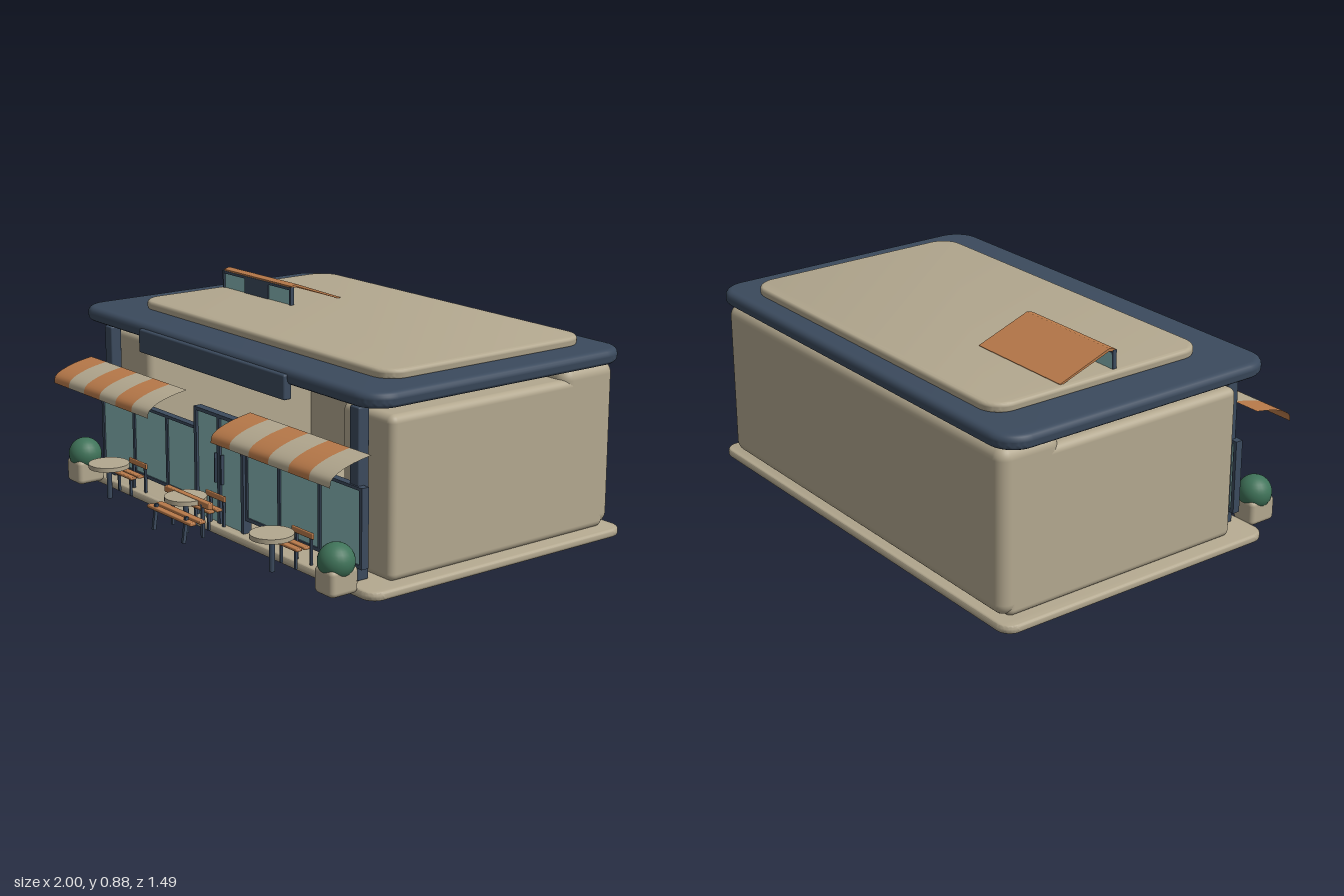
import * as THREE from 'three';
import { toCreasedNormals } from 'three/addons/utils/BufferGeometryUtils.js';
import { RoundedBoxGeometry } from 'three/addons/geometries/RoundedBoxGeometry.js';

const material = (name, color, side = THREE.FrontSide) => {
  const m = new THREE.MeshStandardMaterial({ color, side });
  m.name = name;
  return m;
};

export function createModel() {
  const model = new THREE.Group();
  model.name = 'cafe';
  const beige = material('beige', 0xb3a88f, THREE.DoubleSide);
  const navy = material('navy', 0x3b4a5d);
  const orange = material('orange', 0xb97a4a, THREE.DoubleSide);
  const glass = material('glass', 0x86b7b6);
  const green = material('green', 0x3f7359);

  const add = (parent, name, geometry, mat, x = 0, y = 0, z = 0) => {
    const mesh = new THREE.Mesh(geometry, mat);
    mesh.name = name;
    mesh.position.set(x, y, z);
    parent.add(mesh);
    return mesh;
  };
  const group = (parent, name, x = 0, y = 0, z = 0) => {
    const g = new THREE.Group();
    g.name = name;
    g.position.set(x, y, z);
    parent.add(g);
    return g;
  };
  // Box given by its lower and upper corners; r rounds the edges
  const box = (parent, name, mat, [x0, y0, z0], [x1, y1, z1], r = 0) => {
    const size = [x1 - x0, y1 - y0, z1 - z0];
    const geometry = r ? new RoundedBoxGeometry(...size, 4, r) : new THREE.BoxGeometry(...size);
    return add(parent, name, geometry, mat, (x0 + x1) / 2, (y0 + y1) / 2, (z0 + z1) / 2);
  };
  // Flat slab with rounded corners and bevelled rims
  const slab = (name, mat, x0, x1, y0, y1, z0, z1, r, bevel) => {
    const w = (x1 - x0) / 2 - bevel, d = (z1 - z0) / 2 - bevel;
    const s = new THREE.Shape();
    s.moveTo(-w + r, -d);
    s.absarc(w - r, -d + r, r, -Math.PI / 2, 0);
    s.absarc(w - r, d - r, r, 0, Math.PI / 2);
    s.absarc(-w + r, d - r, r, Math.PI / 2, Math.PI);
    s.absarc(-w + r, -d + r, r, Math.PI, Math.PI * 1.5);
    const g = new THREE.ExtrudeGeometry(s, {
      depth: y1 - y0 - 2 * bevel, bevelSize: bevel, bevelThickness: bevel, bevelSegments: 4, curveSegments: 8,
    });
    g.rotateX(-Math.PI / 2);
    return add(model, name, toCreasedNormals(g, 0.6), mat, (x0 + x1) / 2, y0 + bevel, (z0 + z1) / 2);
  };

  // Base, walls and roof
  slab('base', beige, -1, 1, 0, 0.035, -0.745, 0.535, 0.05, 0.012);
  box(model, 'backWall', beige, [-0.94, 0.035, -0.725], [0.94, 0.7, -0.45], 0.05);
  for (const s of [-1, 1]) {
    box(model, 'sideWall', beige, [s * 0.795 - 0.145, 0.03, -0.69], [s * 0.795 + 0.145, 0.655, 0.4], 0.03);
    box(model, 'frontColumn', navy, [s * 0.832 - 0.026, 0.035, 0.435], [s * 0.832 + 0.026, 0.685, 0.485], 0.006);
  }
  slab('roof', navy, -0.995, 0.995, 0.7, 0.76, -0.74, 0.53, 0.09, 0.025);
  slab('roofTop', beige, -0.797, 0.855, 0.755, 0.795, -0.647, 0.35, 0.08, 0.015);
  box(model, 'signBoard', navy, [-0.495, 0.645, 0.508], [0.495, 0.742, 0.546], 0.008);

  // Window rows on both sides of the door, three panes each
  for (const s of [-1, 1]) {
    const row = group(model, 'windowRow');
    const posts = [0.172, 0.385, 0.635, 0.88].map((x) => x * s);
    const left = Math.min(...posts), right = Math.max(...posts);
    box(row, 'windowGlass', glass, [left, 0.095, 0.467], [right, 0.388, 0.486]);
    box(row, 'topRail', navy, [left, 0.383, 0.46], [right, 0.395, 0.492]);
    box(row, 'bottomRail', navy, [left, 0.088, 0.46], [right, 0.102, 0.492]);
    for (const x of posts) box(row, 'mullion', navy, [x - 0.008, 0.088, 0.46], [x + 0.008, 0.395, 0.492]);
  }

  // Double door
  const door = group(model, 'door');
  box(door, 'doorGlass', glass, [-0.16, 0.035, 0.475], [0.16, 0.475, 0.492]);
  box(door, 'doorHead', navy, [-0.168, 0.468, 0.465], [0.168, 0.482, 0.502]);
  for (const x of [-0.16, 0, 0.16]) box(door, 'doorPost', navy, [x - 0.009, 0.035, 0.465], [x + 0.009, 0.482, 0.502]);
  for (const x of [-0.022, 0.022]) box(door, 'doorHandle', navy, [x - 0.003, 0.2, 0.492], [x + 0.003, 0.32, 0.505]);

  // Striped awnings: a curved strip swept along x
  const curve = new THREE.SplineCurve([[0.5, 0.535], [0.58, 0.52], [0.645, 0.498], [0.678, 0.475], [0.684, 0.447]]
    .map(([z, y]) => new THREE.Vector2(z, y)));
  const stripeGeometry = (x0, x1) => {
    const g = new THREE.PlaneGeometry(1, 1, 1, 12);
    const p = g.attributes.position, uv = g.attributes.uv;
    for (let i = 0; i < p.count; i++) {
      const c = curve.getPoint(1 - uv.getY(i));
      p.setXYZ(i, x0 + uv.getX(i) * (x1 - x0), c.y, c.x);
    }
    g.computeVertexNormals();
    return g;
  };
  for (const start of [-0.95, 0.218]) {
    const awning = group(model, 'awning');
    for (let i = 0; i < 6; i++) {
      const x = start + i * 0.122;
      add(awning, 'awningStripe', stripeGeometry(x, x + 0.122), i % 2 ? beige : orange);
    }
  }

  for (const s of [-1, 1]) {
    // Small hanging lamps below the awnings
    add(model, 'lamp', new THREE.CylinderGeometry(0.025, 0.025, 0.006, 16), navy, s * 0.583, 0.42, 0.571);
    // Planters with round bushes
    const planter = group(model, 'planter', s * 0.868, 0, 0.592);
    box(planter, 'pot', beige, [-0.055, 0.02, -0.063], [0.055, 0.125, 0.063], 0.02);
    add(planter, 'bush', new THREE.SphereGeometry(0.07, 24, 16), green, 0, 0.14, 0);
  }

  // Tables, each with a chair behind it
  for (const x of [-0.568, 0, 0.568]) {
    const table = group(model, 'table', x, 0, 0.657);
    add(table, 'tableTop', new THREE.CylinderGeometry(0.084, 0.084, 0.018, 32), beige, 0, 0.171, 0);
    add(table, 'tableLeg', new THREE.CylinderGeometry(0.011, 0.011, 0.135, 12), navy, 0, 0.097, 0);
    const chair = group(model, 'chair', x, 0, 0.565);
    for (const z of [-0.022, 0.015]) {
      box(chair, 'seatSlat', orange, [-0.066, 0.107, z - 0.014], [0.066, 0.119, z + 0.014], 0.004);
    }
    box(chair, 'chairBack', orange, [-0.066, 0.14, -0.054], [0.066, 0.164, -0.044], 0.004);
    for (const s of [-1, 1]) {
      box(chair, 'frontLeg', navy, [s * 0.045 - 0.005, 0.035, 0.012], [s * 0.045 + 0.005, 0.107, 0.022]);
      box(chair, 'backLeg', navy, [s * 0.045 - 0.005, 0.035, -0.06], [s * 0.045 + 0.005, 0.16, -0.05]);
    }
  }

  // Slatted bench at the centre
  const bench = group(model, 'bench');
  for (const z of [0.682, 0.725]) {
    box(bench, 'seatSlat', orange, [-0.154, 0.108, z - 0.014], [0.154, 0.122, z + 0.014], 0.004);
  }
  box(bench, 'benchBack', orange, [-0.154, 0.158, 0.632], [0.154, 0.184, 0.656], 0.004);
  for (const x of [-0.105, 0.105]) {
    const front = box(bench, 'frontLeg', navy, [x - 0.006, 0.03, 0.725], [x + 0.006, 0.135, 0.739]);
    front.rotation.x = -0.15;
    box(bench, 'backLeg', navy, [x - 0.006, 0.035, 0.644], [x + 0.006, 0.17, 0.656]);
  }

  // Slanted roof window
  const dormer = group(model, 'roofWindow');
  box(dormer, 'dormerGlass', glass, [-0.77, 0.79, -0.083], [-0.29, 0.868, -0.073]);
  box(dormer, 'dormerPanel', navy, [-0.615, 0.79, -0.08], [-0.445, 0.868, -0.068]);
  box(dormer, 'dormerHead', navy, [-0.775, 0.857, -0.083], [-0.285, 0.868, -0.068]);
  for (const x of [-0.771, -0.289]) box(dormer, 'dormerPost', navy, [x - 0.005, 0.79, -0.083], [x + 0.005, 0.87, -0.066]);
  const profile = new THREE.Shape([[-0.07, 0.862], [-0.072, 0.874], [-0.1, 0.881], [-0.33, 0.797], [-0.33, 0.789], [-0.1, 0.87]]
    .map(([z, y]) => new THREE.Vector2(-z, y)));
  const roofPlate = new THREE.ExtrudeGeometry(profile, { depth: 0.488, bevelEnabled: false });
  roofPlate.rotateY(Math.PI / 2);
  add(dormer, 'dormerRoof', roofPlate, orange, -0.774);

  return model;
}
